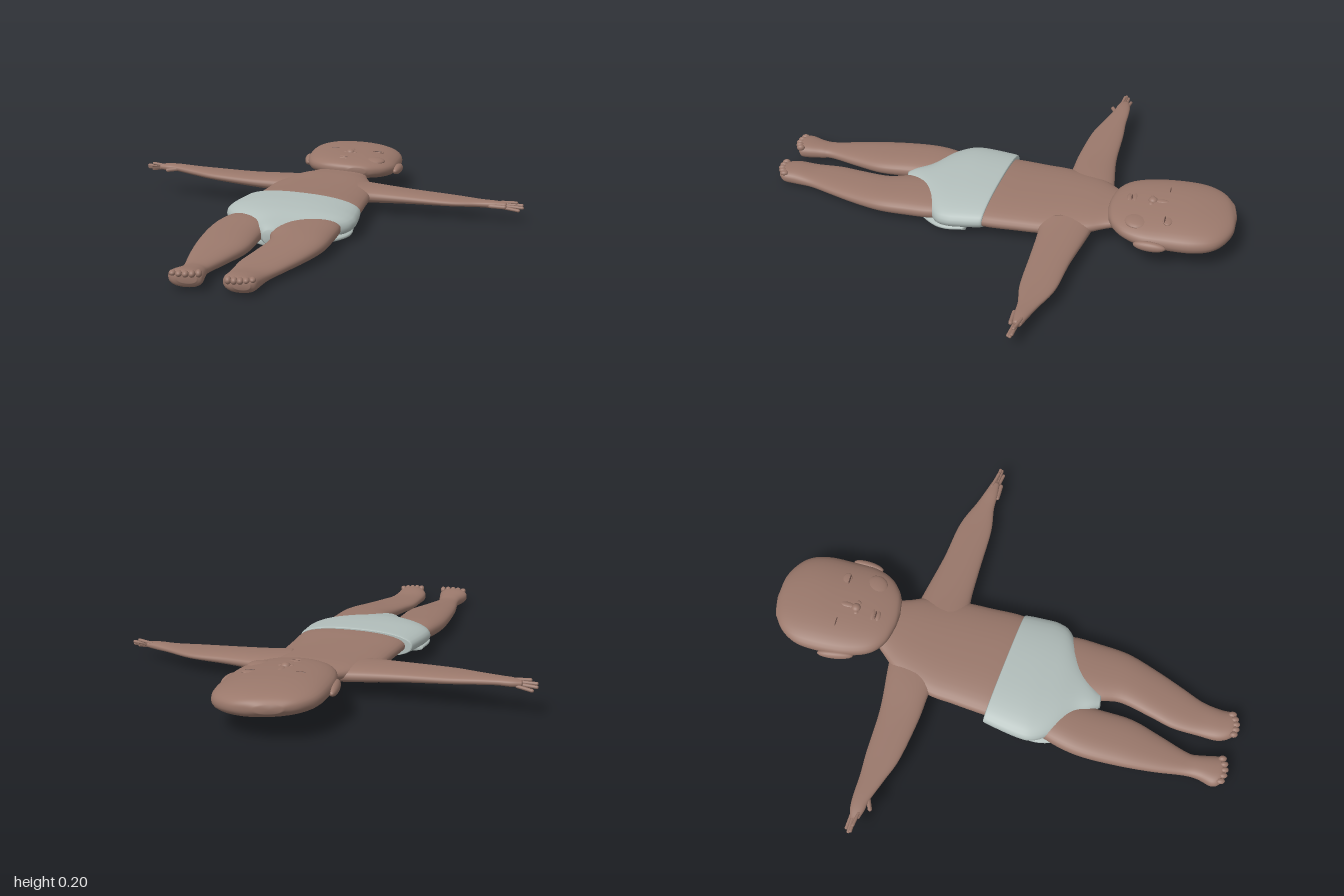
import * as THREE from 'three';

const skin = new THREE.MeshStandardMaterial({ color: 0x9a786b });
const cloth = new THREE.MeshStandardMaterial({ color: 0xb2bebb });
const crease = new THREE.MeshStandardMaterial({ color: 0x604740 });
skin.name = 'skin';
cloth.name = 'diaper cloth';
crease.name = 'dark crease';

// Smooth loft. Each row: [edge A x, z, edge B x, z, bottom y, top y].
function loft(name, rows, material, roll = -0.04, power = 0.85) {
  const curve = (f) => new THREE.CatmullRomCurve3(rows.map(f), false, 'catmullrom', 0.5);
  const edgeA = curve((r) => new THREE.Vector3(r[0], r[4], r[1]));
  const edgeB = curve((r) => new THREE.Vector3(r[2], r[5], r[3]));
  const sides = 36, steps = (rows.length - 1) * 6;
  const pos = [], index = [];
  const soft = (v) => Math.sign(v) * Math.pow(Math.abs(v), power);
  const poles = [];
  for (let i = 0; i <= steps; i++) {
    const a = edgeA.getPoint(i / steps), b = edgeB.getPoint(i / steps);
    const cx = (a.x + b.x) / 2, cy = (a.y + b.y) / 2, cz = (a.z + b.z) / 2;
    if (i === 0 || i === steps) poles.push(cx, cy, cz);
    for (let j = 0; j < sides; j++) {
      const t = (j / sides) * Math.PI * 2;
      const u = soft(Math.cos(t)), v = soft(Math.sin(t));
      const dx = (u * (b.x - a.x)) / 2;
      pos.push(cx + dx, cy + (v * (b.y - a.y)) / 2 + roll * dx, cz + (u * (b.z - a.z)) / 2);
    }
  }
  const first = pos.length / 3, last = first + 1;
  pos.push(...poles);
  for (let j = 0; j < sides; j++) {
    const k = (j + 1) % sides, end = steps * sides;
    for (let i = 0; i < steps; i++) {
      const r = i * sides, q = r + sides;
      index.push(r + j, r + k, q + j, r + k, q + k, q + j);
    }
    index.push(first, k, j, last, end + j, end + k);
  }
  const geo = new THREE.BufferGeometry();
  geo.setAttribute('position', new THREE.Float32BufferAttribute(pos, 3));
  geo.setIndex(index);
  geo.computeVertexNormals();
  const mesh = new THREE.Mesh(geo, material);
  mesh.name = name;
  return mesh;
}

// Ellipsoid, turned about y
function blob(name, p, radii, turn = 0, material = skin) {
  const mesh = new THREE.Mesh(new THREE.SphereGeometry(1, 20, 14), material);
  mesh.position.set(...p);
  mesh.scale.set(...radii);
  mesh.rotation.y = turn;
  mesh.name = name;
  return mesh;
}

// Rounded digit between two points
function digit(name, p, q, radius) {
  const a = new THREE.Vector3(...p), b = new THREE.Vector3(...q);
  const d = b.clone().sub(a);
  const mesh = new THREE.Mesh(new THREE.CapsuleGeometry(radius, d.length(), 4, 8), skin);
  mesh.position.copy(a).add(b).multiplyScalar(0.5);
  mesh.quaternion.setFromUnitVectors(new THREE.Vector3(0, 1, 0), d.normalize());
  mesh.name = name;
  return mesh;
}

export function createModel() {
  const model = new THREE.Group();
  model.name = 'lyingBaby';

  // Torso and neck
  model.add(loft('torso', [
    [0.03, -0.6, 0.18, -0.54, 0.09, 0.14],
    [-0.07, -0.53, 0.185, -0.44, 0.07, 0.137],
    [-0.16, -0.46, 0.2, -0.34, 0.052, 0.14],
    [-0.24, -0.34, 0.185, -0.19, 0.04, 0.138],
    [-0.28, -0.23, 0.16, -0.07, 0.036, 0.138],
    [-0.325, -0.1, 0.13, 0.06, 0.035, 0.138],
    [-0.36, 0.02, 0.09, 0.13, 0.04, 0.125],
  ], skin));

  // Diaper, with a wider seat underneath
  model.add(loft('diaper', [
    [-0.352, -0.1, 0.128, 0.07, 0.03, 0.142],
    [-0.365, -0.085, 0.13, 0.085, 0.026, 0.146],
    [-0.42, 0.04, 0.118, 0.155, 0.018, 0.145],
    [-0.432, 0.11, 0.1, 0.225, 0.014, 0.14],
    [-0.4, 0.19, 0.055, 0.275, 0.013, 0.132],
    [-0.325, 0.28, -0.08, 0.32, 0.015, 0.118],
    [-0.295, 0.35, -0.18, 0.37, 0.02, 0.105],
    [-0.275, 0.395, -0.215, 0.4, 0.03, 0.09],
  ], cloth));
  model.add(loft('diaperSeat', [
    [-0.4, 0.03, 0.1, 0.14, 0.018, 0.06],
    [-0.43, 0.13, 0.085, 0.23, 0.012, 0.06],
    [-0.42, 0.22, 0.04, 0.29, 0.01, 0.055],
    [-0.36, 0.31, -0.05, 0.35, 0.01, 0.05],
    [-0.29, 0.37, -0.16, 0.39, 0.015, 0.045],
  ], cloth));

  // Legs with feet
  model.add(loft('rightLeg', [
    [-0.38, 0.1, -0.22, 0.16, 0.035, 0.105],
    [-0.45, 0.21, -0.25, 0.27, 0.024, 0.113],
    [-0.495, 0.32, -0.285, 0.39, 0.02, 0.107],
    [-0.53, 0.48, -0.325, 0.53, 0.018, 0.095],
    [-0.55, 0.62, -0.39, 0.645, 0.018, 0.08],
    [-0.56, 0.74, -0.46, 0.76, 0.018, 0.068],
    [-0.575, 0.8, -0.472, 0.81, 0.012, 0.072],
    [-0.605, 0.855, -0.475, 0.87, 0.01, 0.08],
    [-0.598, 0.89, -0.48, 0.905, 0.016, 0.08],
    [-0.57, 0.91, -0.5, 0.918, 0.035, 0.07],
  ], skin));
  model.add(loft('leftLeg', [
    [-0.17, 0.16, 0.03, 0.2, 0.035, 0.105],
    [-0.22, 0.25, 0.04, 0.285, 0.024, 0.11],
    [-0.245, 0.37, 0.01, 0.4, 0.018, 0.105],
    [-0.25, 0.48, -0.03, 0.52, 0.016, 0.095],
    [-0.31, 0.61, -0.1, 0.64, 0.014, 0.08],
    [-0.355, 0.7, -0.175, 0.75, 0.012, 0.07],
    [-0.385, 0.81, -0.235, 0.835, 0.008, 0.064],
    [-0.405, 0.89, -0.268, 0.91, 0.002, 0.07],
    [-0.395, 0.945, -0.282, 0.96, 0.01, 0.07],
    [-0.365, 0.972, -0.305, 0.98, 0.028, 0.06],
  ], skin));

  // Toes
  for (let i = 0; i < 5; i++) {
    const arch = 0.012 * Math.sin((i / 4) * Math.PI);
    const big = 0.011 + i * 0.001, small = 0.015 - i * 0.001;
    model.add(blob('rightToe', [-0.588 + i * 0.024, 0.07, 0.893 + arch + i * 0.003], [0.013, big, 0.018]));
    model.add(blob('leftToe', [-0.384 + i * 0.022, 0.06, 0.957 + arch], [0.013, small, 0.018]));
  }

  // Arms with palms
  model.add(loft('rightArm', [
    [-0.04, -0.5, -0.16, -0.3, 0.06, 0.13],
    [-0.14, -0.513, -0.25, -0.335, 0.065, 0.133],
    [-0.315, -0.535, -0.36, -0.37, 0.078, 0.133],
    [-0.5, -0.58, -0.53, -0.44, 0.095, 0.138],
    [-0.6, -0.6, -0.625, -0.5, 0.105, 0.142],
    [-0.685, -0.622, -0.71, -0.555, 0.115, 0.146],
    [-0.74, -0.632, -0.75, -0.572, 0.114, 0.146],
    [-0.785, -0.63, -0.785, -0.592, 0.118, 0.142],
  ], skin));
  model.add(loft('leftArm', [
    [0.12, -0.17, 0.12, -0.42, 0.045, 0.125],
    [0.2, -0.165, 0.24, -0.365, 0.045, 0.115],
    [0.35, -0.13, 0.4, -0.29, 0.05, 0.102],
    [0.53, -0.085, 0.565, -0.225, 0.052, 0.09],
    [0.64, -0.075, 0.675, -0.15, 0.054, 0.086],
    [0.71, -0.06, 0.735, -0.112, 0.054, 0.086],
    [0.77, -0.052, 0.78, -0.085, 0.058, 0.082],
  ], skin));

  // Fingers and thumbs
  for (let i = 0; i < 4; i++) {
    const reach = [0.82, 0.838, 0.838, 0.815][i], s = i - 1.5;
    model.add(digit('rightFinger', [-0.765, 0.13 + s * 0.006, -0.611 + s * 0.01],
      [-reach, 0.128 + s * 0.011, -0.63 + s * 0.01], 0.007));
    model.add(digit('leftFinger', [0.755, 0.07 + s * 0.006, -0.074 - s * 0.008],
      [reach, 0.068 + s * 0.01, -0.045 - s * 0.007], 0.007));
  }
  model.add(digit('rightThumb', [-0.7, 0.128, -0.56], [-0.745, 0.125, -0.552], 0.009));
  model.add(digit('leftThumb', [0.7, 0.068, -0.06], [0.76, 0.066, -0.045], 0.009));

  // Head
  model.add(loft('head', [
    [0.09, -0.998, 0.185, -0.995, 0.122, 0.155],
    [0.02, -0.965, 0.285, -0.96, 0.098, 0.175],
    [-0.035, -0.905, 0.358, -0.885, 0.078, 0.187],
    [-0.067, -0.81, 0.373, -0.79, 0.068, 0.193],
    [-0.085, -0.69, 0.345, -0.66, 0.07, 0.19],
    [-0.075, -0.59, 0.32, -0.575, 0.08, 0.183],
    [-0.03, -0.525, 0.275, -0.51, 0.095, 0.174],
    [0.04, -0.485, 0.22, -0.475, 0.105, 0.164],
    [0.1, -0.466, 0.175, -0.462, 0.122, 0.15],
  ], skin, -0.06));

  // Ears
  model.add(blob('rightEar', [-0.08, 0.135, -0.735], [0.02, 0.022, 0.078], -0.08));
  model.add(blob('leftEar', [0.338, 0.112, -0.615], [0.02, 0.022, 0.068], -0.3));

  // Face: closed eyes, nose, cheeks and mouth
  const tilt = -0.23;
  for (const [side, x, y, z] of [['right', 0.05, 0.187, -0.735], ['left', 0.243, 0.175, -0.69]]) {
    model.add(blob(side + 'Eyelid', [x, y, z - 0.008], [0.036, 0.007, 0.022], tilt));
    model.add(blob(side + 'EyeCrease', [x, y + 0.005, z + 0.004], [0.024, 0.003, 0.003], tilt, crease));
  }
  model.add(blob('noseBridge', [0.126, 0.184, -0.69], [0.016, 0.01, 0.04], tilt));
  model.add(blob('noseTip', [0.114, 0.186, -0.65], [0.02, 0.015, 0.02], tilt));
  for (const s of [-1, 1]) {
    model.add(blob('nostril', [0.113 + s * 0.021, 0.183 - s * 0.001, -0.645 + s * 0.005], [0.014, 0.009, 0.013], tilt));
  }
  model.add(blob('rightCheek', [0.005, 0.163, -0.61], [0.06, 0.018, 0.055], tilt));
  model.add(blob('leftCheek', [0.215, 0.158, -0.575], [0.06, 0.018, 0.055], tilt));
  model.add(blob('upperLip', [0.08, 0.178, -0.58], [0.034, 0.009, 0.012], tilt));
  model.add(blob('lowerLip', [0.076, 0.176, -0.556], [0.028, 0.009, 0.012], tilt));
  model.add(blob('mouthCrease', [0.078, 0.181, -0.567], [0.025, 0.003, 0.004], tilt, crease));

  return model;
}
